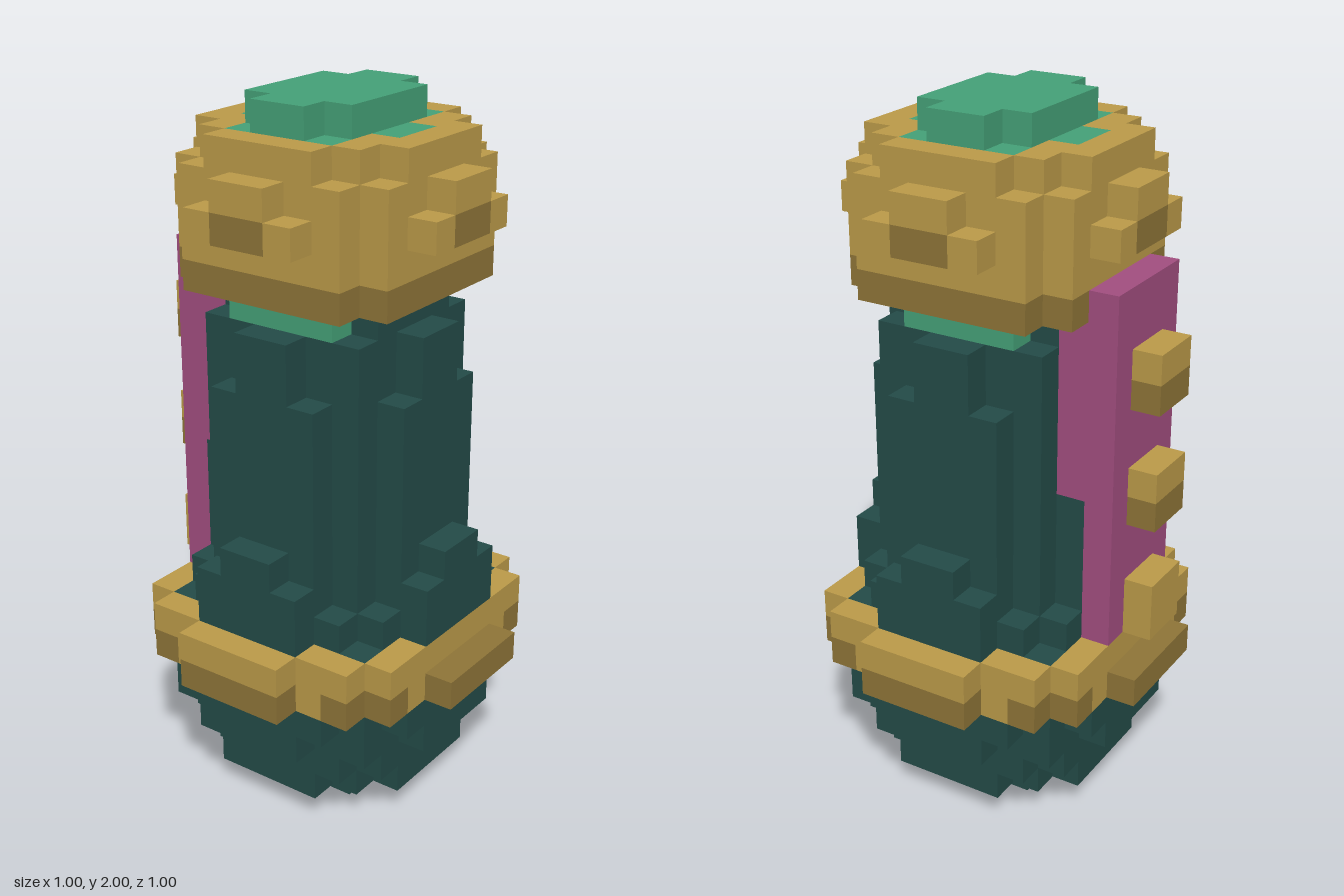
import * as THREE from 'three';

const U = 1 / 12; // one block

const material = (name, color) => {
  const m = new THREE.MeshStandardMaterial({ color });
  m.name = name;
  return m;
};

// Stepped, mirrored outline; steps are [half width, half depth], widening in x.
function outline(steps, minX) {
  const quarter = [];
  let x = 0;
  for (const [w, d] of steps) {
    quarter.push([x, d], [w, d]);
    x = w;
  }
  quarter.push([x, 0]);
  const q = quarter.slice(1, -1);
  const r = [...q].reverse();
  const loop = [
    ...q,
    ...r.map(([a, b]) => [a, -b]),
    ...q.map(([a, b]) => [-a, -b]),
    ...r.map(([a, b]) => [-a, b]),
  ].map(([a, b]) => [Math.max(a, minX), b]);
  return loop
    .filter(([a, b], i) => {
      const p = loop[(i + loop.length - 1) % loop.length];
      return a !== p[0] || b !== p[1];
    })
    .map(([a, b]) => new THREE.Vector2(a * U, b * U));
}

export function createModel() {
  const model = new THREE.Group();
  const teal = material('darkTeal', 0x234b48);
  const green = material('green', 0x45a178);
  const gold = material('gold', 0xbc9b49);
  const bronze = material('darkGold', 0x8f7538);
  const pink = material('magenta', 0xa34e80);

  // Layer from row y0 to y1 with a stepped plan and an optional stepped hole
  function slab(name, mat, y0, y1, steps, { hole, minX = -9 } = {}) {
    const shape = new THREE.Shape(outline(steps, minX));
    if (hole) shape.holes.push(new THREE.Path(outline(hole, -9)));
    const geo = new THREE.ExtrudeGeometry(shape, { depth: (y1 - y0) * U, bevelEnabled: false });
    geo.rotateX(-Math.PI / 2);
    geo.translate(0, y0 * U, 0);
    const mesh = new THREE.Mesh(geo, mat);
    mesh.name = name;
    model.add(mesh);
  }

  // Block between two corners, in block units
  function block(parent, name, mat, [x0, x1], [y0, y1], [z0, z1]) {
    const geo = new THREE.BoxGeometry((x1 - x0) * U, (y1 - y0) * U, (z1 - z0) * U);
    geo.translate(((x0 + x1) / 2) * U, ((y0 + y1) / 2) * U, ((z0 + z1) / 2) * U);
    const mesh = new THREE.Mesh(geo, mat);
    mesh.name = name;
    parent.add(mesh);
  }

  // Rounded base
  slab('baseTip', teal, 0, 1, [[2, 2]]);
  slab('baseLower', teal, 1, 2, [[2, 4], [3, 3], [4, 2]]);
  slab('baseMiddle', teal, 2, 3, [[3, 4], [4, 3]]);
  slab('baseWide', teal, 3, 4, [[2, 5], [4, 4], [5, 2]]);
  slab('baseTop', teal, 4, 5, [[3, 5], [4, 4], [5, 3]]);
  slab('beltCore', teal, 5, 7, [[4, 4]]);

  // Tapering body, cut back on one side for the spine
  slab('bodyFoot', teal, 7, 8, [[3, 4], [4, 3]]);
  slab('bodyLower', teal, 8, 12, [[2, 4], [3, 3], [4, 2]]);
  slab('bodyMiddle', teal, 12, 15, [[2, 4], [3, 3], [4, 2]], { minX: -3 });
  slab('bodyUpper', teal, 15, 17, [[1, 4], [3, 3], [4, 1]], { minX: -3 });

  // Neck: green centre with dark cheeks
  block(model, 'neck', green, [-2, 2], [17, 18], [-3, 3]);
  for (const s of [-1, 1]) {
    block(model, 'neckSide', teal, s < 0 ? [-3, -2] : [2, 3], [17, 18], [-2, 2]);
  }

  // Belt upper ring
  slab('beltUpper', gold, 6, 7, [[2, 6], [4, 5], [5, 4]], { hole: [[4, 4]] });

  // Parts repeated on all four sides
  for (let i = 0; i < 4; i++) {
    const side = new THREE.Group();
    side.name = 'side' + (i + 1);
    side.rotation.y = (i * Math.PI) / 2;
    model.add(side);

    // Belt lower row
    block(side, 'beltPlate', bronze, [-2, 2], [5, 6], [4, 6]);
    for (const s of [-1, 1]) {
      block(side, 'beltLink', gold, s < 0 ? [-3, -2] : [2, 3], [5, 6], [4, 5]);
      block(side, 'beltCorner', bronze, s < 0 ? [-4, -3] : [3, 4], [5, 6], [4, 5]);
    }

    // Arched plate above the belt, left off behind the spine
    if (i !== 3) {
      block(side, 'lowerPlate', teal, [-2, 2], [7, 9], [4, 5]);
      block(side, 'lowerPlateTop', teal, [-1, 1], [9, 10], [4, 5]);
    }

    // Arched boss on the cap
    block(side, 'bossTop', gold, [-1, 1], [21, 22], [4, 5]);
    block(side, 'bossCentre', bronze, [-1, 1], [20, 21], [4, 5]);
    for (const s of [-1, 1]) {
      block(side, 'bossEnd', gold, s < 0 ? [-2, -1] : [1, 2], [20, 21], [4, 5]);
    }
  }

  // Cap
  const gem = [[2, 3], [3, 1]];
  slab('capRim', bronze, 18, 19, [[3, 4], [4, 3]]);
  slab('cap', gold, 19, 22, [[3, 4], [4, 3]]);
  slab('capTop', gold, 22, 23, [[2, 4], [3, 3], [4, 2]], { hole: gem });
  slab('gemBase', green, 22, 23, gem);
  slab('gemTop', green, 23, 24, [[1, 3], [2, 2]]);

  // Spine with studs
  block(model, 'spine', pink, [-5, -4], [7, 19], [-2, 2]);
  block(model, 'spineInner', pink, [-4, -3], [12, 18], [-2, 2]);
  for (const y of [7, 11, 15]) {
    block(model, 'studLower', y === 7 ? gold : bronze, [-6, -5], [y, y + 1], [-1, 1]);
    block(model, 'studUpper', gold, [-6, -5], [y + 1, y + 2], [-1, 1]);
  }

  return model;
}
